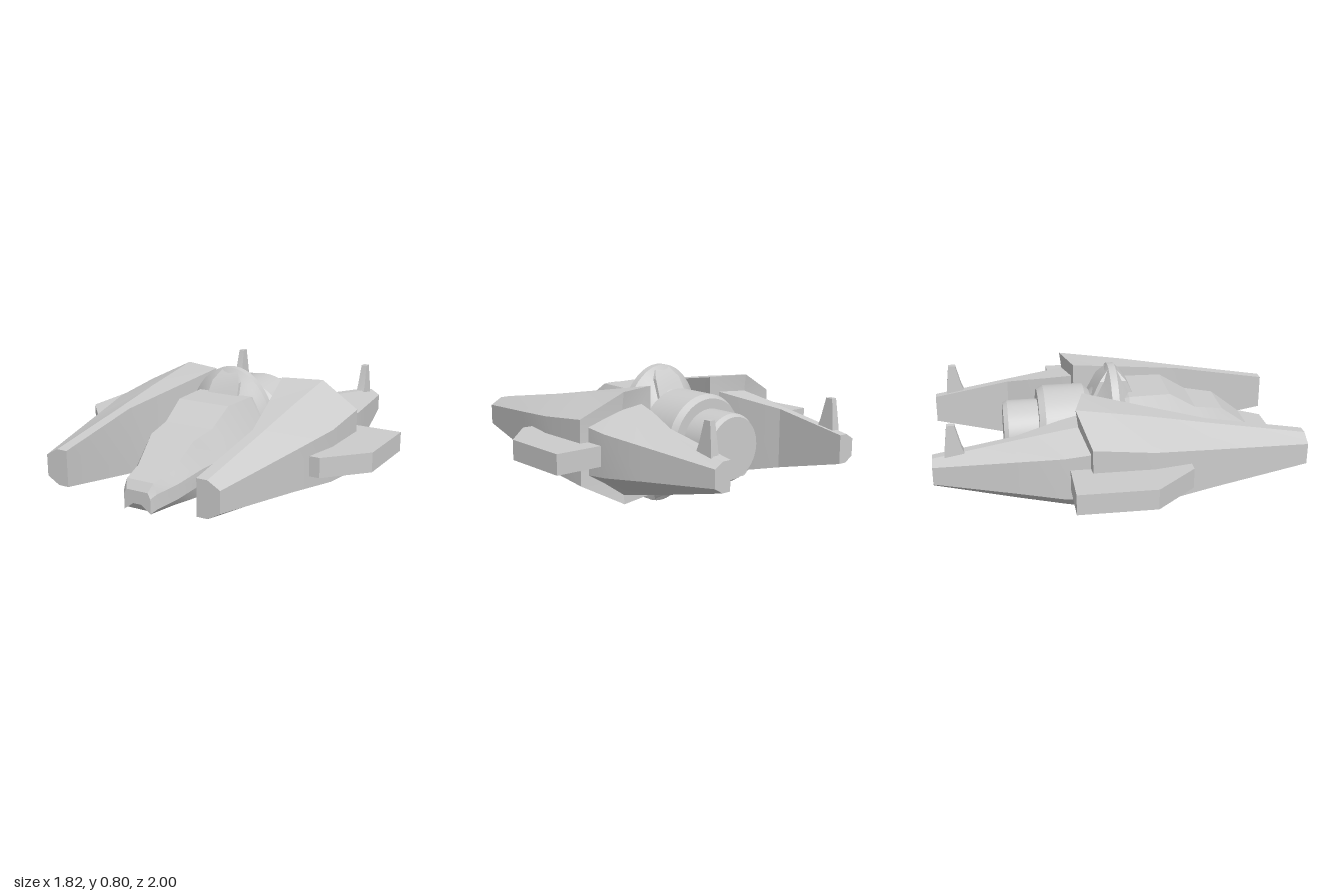
import * as THREE from 'three';
import { toCreasedNormals } from 'three/addons/utils/BufferGeometryUtils.js';

const material = new THREE.MeshStandardMaterial({ color: 0xcccccc });

// Skin over rings of [x, y, z] points, listed front to back, each counter-clockwise from the front.
function loft(rings, crease = 0.3) {
  const out = [];
  const n = rings[0].length;
  const tri = (...p) => p.forEach((q) => out.push(...q));
  const centre = (r) => [0, 1, 2].map((k) => r.reduce((s, p) => s + p[k], 0) / n);
  const first = rings[0], last = rings[rings.length - 1];
  for (let j = 0; j < n; j++) {
    const k = (j + 1) % n;
    for (let i = 0; i < rings.length - 1; i++) {
      const a = rings[i][j], b = rings[i][k], c = rings[i + 1][k], d = rings[i + 1][j];
      tri(a, d, b);
      tri(b, d, c);
    }
    tri(centre(first), first[j], first[k]);
    tri(centre(last), last[k], last[j]);
  }
  const g = new THREE.BufferGeometry();
  g.setAttribute('position', new THREE.Float32BufferAttribute(out, 3));
  g.computeVertexNormals();
  return toCreasedNormals(g, crease);
}

const mirrorRings = (rings) => rings.map((r) => r.map(([x, y, z]) => [-x, y, z]).reverse());

// Six-sided pod section: flat inner wall, ridge at x = 0.45, bevelled outer wall.
function podRing(z, xIn, xOut, yTop, yOutTop, yOutBottom, yBottom, ridgeZ = z) {
  const r = 0.45;
  return [
    [xIn, yBottom, z], [r, yBottom, ridgeZ], [xOut, yOutBottom, z],
    [xOut, yOutTop, z], [r, yTop, ridgeZ], [xIn, yTop, z],
  ];
}

// Rectangle in plan at height y, for tapered uprights.
const plan = (y, x, w, z0, z1) => [[x - w, y, z0], [x + w, y, z0], [x + w, y, z1], [x - w, y, z1]];

export function createModel() {
  const model = new THREE.Group();
  const add = (name, geometry, parent = model) => {
    const mesh = new THREE.Mesh(geometry, material);
    mesh.name = name;
    parent.add(mesh);
    return mesh;
  };

  // Cockpit: z, top half-width, middle half-width, bottom half-width, top y, middle y, bottom y
  const cockpit = [
    [0.94, 0.065, 0.08, 0.07, 0.36, 0.33, 0.29],
    [0.91, 0.08, 0.1, 0.085, 0.405, 0.35, 0.25],
    [0.78, 0.105, 0.14, 0.11, 0.43, 0.37, 0.25],
    [0.62, 0.13, 0.185, 0.155, 0.55, 0.41, 0.25],
    [0.46, 0.145, 0.225, 0.19, 0.575, 0.43, 0.18],
    [0.31, 0.155, 0.25, 0.205, 0.665, 0.44, 0.185],
    [0.08, 0.165, 0.275, 0.21, 0.665, 0.45, 0.22],
    [0.0, 0.15, 0.26, 0.2, 0.64, 0.45, 0.24],
  ].map(([z, wt, wm, wb, yt, ym, yb]) => {
    const right = [[wb, yb, z], [wm, ym - 0.08, z], [wm, ym, z], [wt, yt, z]];
    return [...right, ...right.map(([x, y]) => [-x, y, z]).reverse()];
  });
  add('cockpit', loft(cockpit));

  // Turned parts around the z axis
  const turned = (name, profile, y) => {
    const g = new THREE.LatheGeometry(profile.map(([r, z]) => new THREE.Vector2(r, z)), 48);
    g.rotateX(Math.PI / 2);
    const mesh = add(name, toCreasedNormals(g, 0.4));
    mesh.position.y = y;
    return mesh;
  };

  // Elliptical hull disc with a narrow rim
  const disc = turned('hullDisc', [
    [0, -0.17], [0.22, -0.15], [0.27, -0.105], [0.36, -0.045], [0.4, -0.02],
    [0.4, 0.02], [0.36, 0.045], [0.27, 0.105], [0.22, 0.13], [0, 0.13],
  ], 0.4);
  disc.scale.x = 0.7;

  // Stepped engine barrel
  turned('engine', [
    [0, -0.615], [0.17, -0.615], [0.185, -0.59], [0.185, -0.42], [0.24, -0.42],
    [0.26, -0.385], [0.26, -0.16], [0.22, -0.12], [0, -0.12],
  ], 0.42);

  // Buttresses above and below the disc
  for (const s of [1, -1]) {
    const rings = [[0.785, 0.05, 0.025], [0.73, 0.085, 0.075], [0.62, 0.1, 0.13]].map(
      ([y, w, d]) => plan(0.4 + s * (y - 0.4), 0, w, d, -d));
    add(s > 0 ? 'topButtress' : 'bottomButtress', loft(s > 0 ? rings.reverse() : rings).rotateY(0));
  }

  // Side pods, wings and fins
  const frontPod = [
    podRing(1, 0.39, 0.52, 0.52, 0.48, 0.365, 0.325),
    podRing(0.46, 0.39, 0.626, 0.61, 0.534, 0.315, 0.232),
    podRing(0.13, 0.305, 0.69, 0.668, 0.568, 0.278, 0.175),
    podRing(-0.19, 0.22, 0.69, 0.725, 0.6, 0.245, 0.115, -0.25),
  ];
  const rearPod = [
    podRing(-0.12, 0.27, 0.64, 0.645, 0.56, 0.29, 0.14),
    podRing(-0.33, 0.32, 0.64, 0.615, 0.54, 0.31, 0.185),
    podRing(-0.57, 0.4, 0.59, 0.575, 0.515, 0.335, 0.24),
    podRing(-1, 0.4, 0.5, 0.5, 0.47, 0.375, 0.345),
  ];
  const fin = [plan(0.45, 0.44, 0.027, -0.8, -0.94), plan(0.56, 0.44, 0.022, -0.845, -0.93),
    plan(0.68, 0.44, 0.016, -0.875, -0.915)];
  const wingPlan = [[0.5, 0.33], [0.71, 0.33], [0.91, 0.11], [0.91, -0.3], [0.5, -0.3]];
  const wing = [0.365, 0.475].map((y) => wingPlan.map(([x, z]) => [x, y, z]));

  for (const side of ['left', 'right']) {
    const group = new THREE.Group();
    group.name = side + 'Pod';
    model.add(group);
    const skin = (rings) => loft(side === 'left' ? rings : mirrorRings(rings));
    add(side + 'FrontPod', skin(frontPod), group);
    add(side + 'RearPod', skin(rearPod), group);
    add(side + 'Fin', skin(orient(fin)), group);
    add(side + 'Wing', skin(orient(wing)), group);
  }

  // Fix the winding of the top buttress and its twin by their stacking order
  for (const name of ['topButtress', 'bottomButtress']) {
    const mesh = model.getObjectByName(name);
    const s = name === 'topButtress' ? 1 : -1;
    const rings = [[0.785, 0.05, 0.025], [0.73, 0.085, 0.075], [0.62, 0.1, 0.13]].map(
      ([y, w, d]) => plan(0.4 + s * (y - 0.4), 0, w, d, -d));
    mesh.geometry = loft(orient(rings));
  }
  return model;
}

// Order rings that are stacked along y from top to bottom, counter-clockwise from above.
function orient(rings) {
  const sorted = [...rings].sort((a, b) => b[0][1] - a[0][1]);
  const area = sorted[sorted.length - 1].reduce((s, p, i, r) => {
    const q = r[(i + 1) % r.length];
    return s + p[2] * q[0] - q[2] * p[0];
  }, 0);
  return area > 0 ? sorted : sorted.map((r) => [...r].reverse());
}
